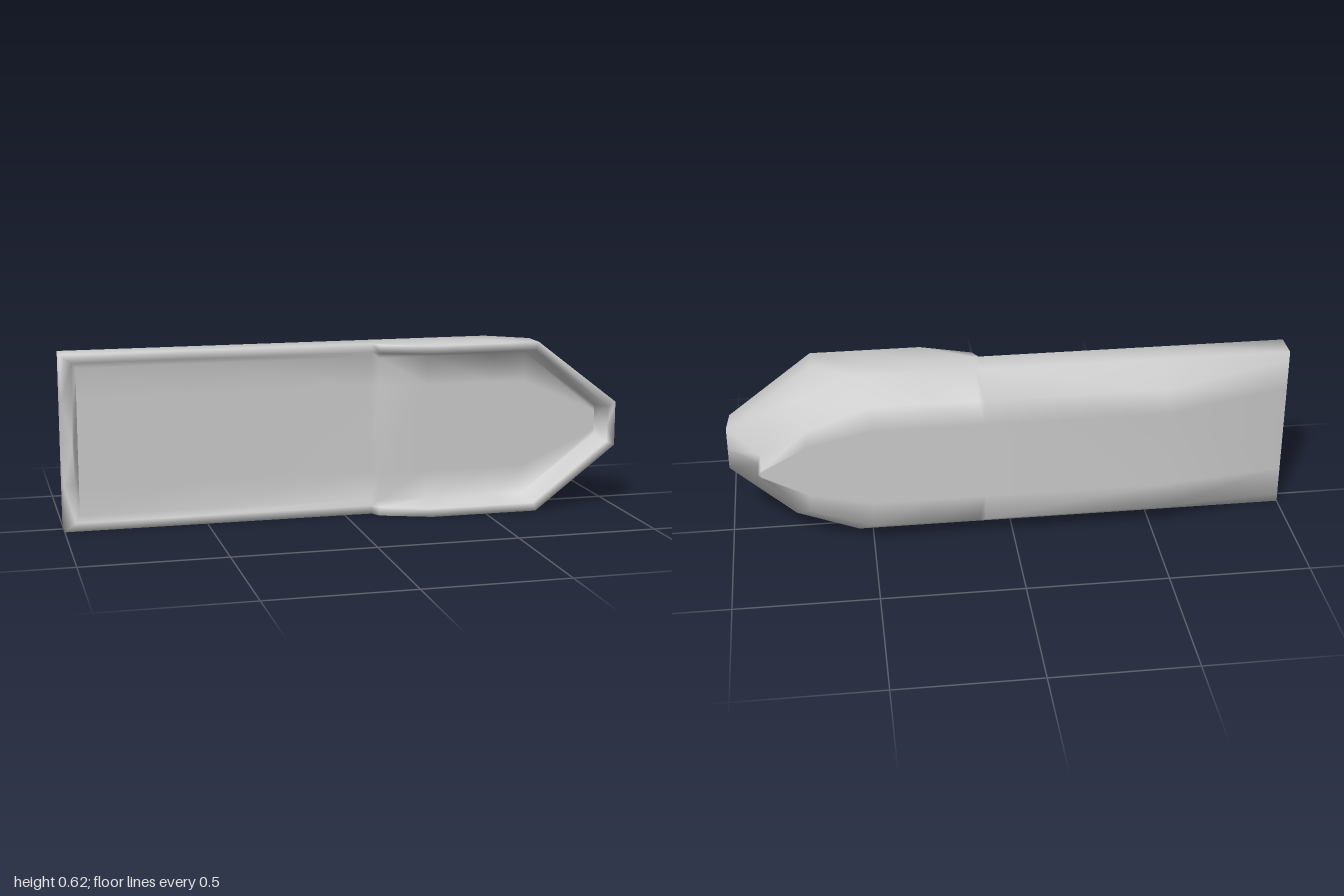
import * as THREE from 'three';
import { mergeVertices } from 'three/addons/utils/BufferGeometryUtils.js';

const MID = 0.31; // mirror plane, in y

// One half-section per station, stern to bow:
// keel edge, chine, side, rim outside, rim inside, floor edge
function straight(x, rimZ, floorZ) {
  return [
    [x, 0.07, -0.15], [x, 0, -0.05], [x, 0, 0.05],
    [x, 0, rimZ], [x, 0.03, rimZ], [x, 0.05, floorZ],
  ];
}

// Stern: the rim is notched at the middle, the chine edge stays straight
function stern(y, keelY, rimX, innerY, floorY) {
  return [
    [-1, keelY, -0.05], [-1, y, -0.05], [rimX, y, 0.05],
    [rimX, y, 0.05], [-0.96, innerY, 0.05], [-0.945, floorY, 0.03],
  ];
}

const stations = [
  stern(MID, MID, -0.965, MID, MID),
  stern(0.16, 0.17, -0.998, 0.17, 0.18),
  stern(0, 0.03, -1, 0.03, 0.05),
  straight(-0.55, 0.05, 0.03),
  straight(0.1, 0.05, 0.03),
  straight(0.12, 0.085, 0.06),
  straight(0.3, 0.15, 0.06),
  // start of the bow taper
  [[0.5, 0.07, -0.15], [0.55, 0, -0.05], [0.55, 0, 0.05],
    [0.55, 0, 0.15], [0.55, 0.03, 0.15], [0.55, 0.05, 0.06]],
  // shoulder
  [[0.72, 0.15, -0.15], [0.77, 0.085, -0.05], [0.69, 0, 0.05],
    [0.69, 0, 0.15], [0.68, 0.03, 0.15], [0.67, 0.05, 0.06]],
  // blunt rim above the pointed keel
  [[0.88, 0.295, -0.15], [0.885, 0.29, -0.05], [1, 0.23, 0.05],
    [0.99, 0.23, 0.15], [0.96, 0.245, 0.15], [0.945, 0.255, 0.06]],
  [[0.89, MID, -0.15], [0.89, MID, -0.05], [1, MID, 0.05],
    [0.99, MID, 0.15], [0.96, MID, 0.15], [0.945, MID, 0.06]],
];

// Extra point part of the way to the middle, on the keel and the floor
const inward = ([x, y, z]) => [x, THREE.MathUtils.lerp(y, MID, 0.4), z];

// Mirror each half-section into a closed ring and skin the rings
function skin(halves) {
  const rings = halves.map((half) => {
    const full = [inward(half[0]), ...half, inward(half[half.length - 1])];
    const pts = full.map((p) => new THREE.Vector3(...p));
    const other = pts.map((p) => new THREE.Vector3(p.x, 2 * MID - p.y, p.z));
    return [...pts, ...other.reverse()];
  });
  const positions = [];
  const tri = (a, b, c) => {
    if (new THREE.Triangle(a, b, c).getArea() < 1e-7) return;
    for (const p of [a, b, c]) positions.push(p.x, p.y, p.z);
  };
  for (let i = 0; i < rings.length - 1; i++) {
    const n = rings[i].length;
    for (let j = 0; j < n; j++) {
      const k = (j + 1) % n;
      const a = rings[i][j], b = rings[i + 1][j], c = rings[i + 1][k], d = rings[i][k];
      // flip the diagonal on the mirrored half to keep both sides alike
      if (j < n / 2) { tri(a, b, c); tri(a, c, d); }
      else { tri(a, b, d); tri(b, c, d); }
    }
  }
  const geometry = new THREE.BufferGeometry();
  geometry.setAttribute('position', new THREE.Float32BufferAttribute(positions, 3));
  const smooth = mergeVertices(geometry);
  smooth.computeVertexNormals();
  return smooth;
}

export function createModel() {
  const group = new THREE.Group();
  group.name = 'openHull';
  const material = new THREE.MeshStandardMaterial({ color: 0xcccccc, side: THREE.DoubleSide });
  const hull = new THREE.Mesh(skin(stations), material);
  hull.name = 'hullShell';
  group.add(hull);
  return group;
}
